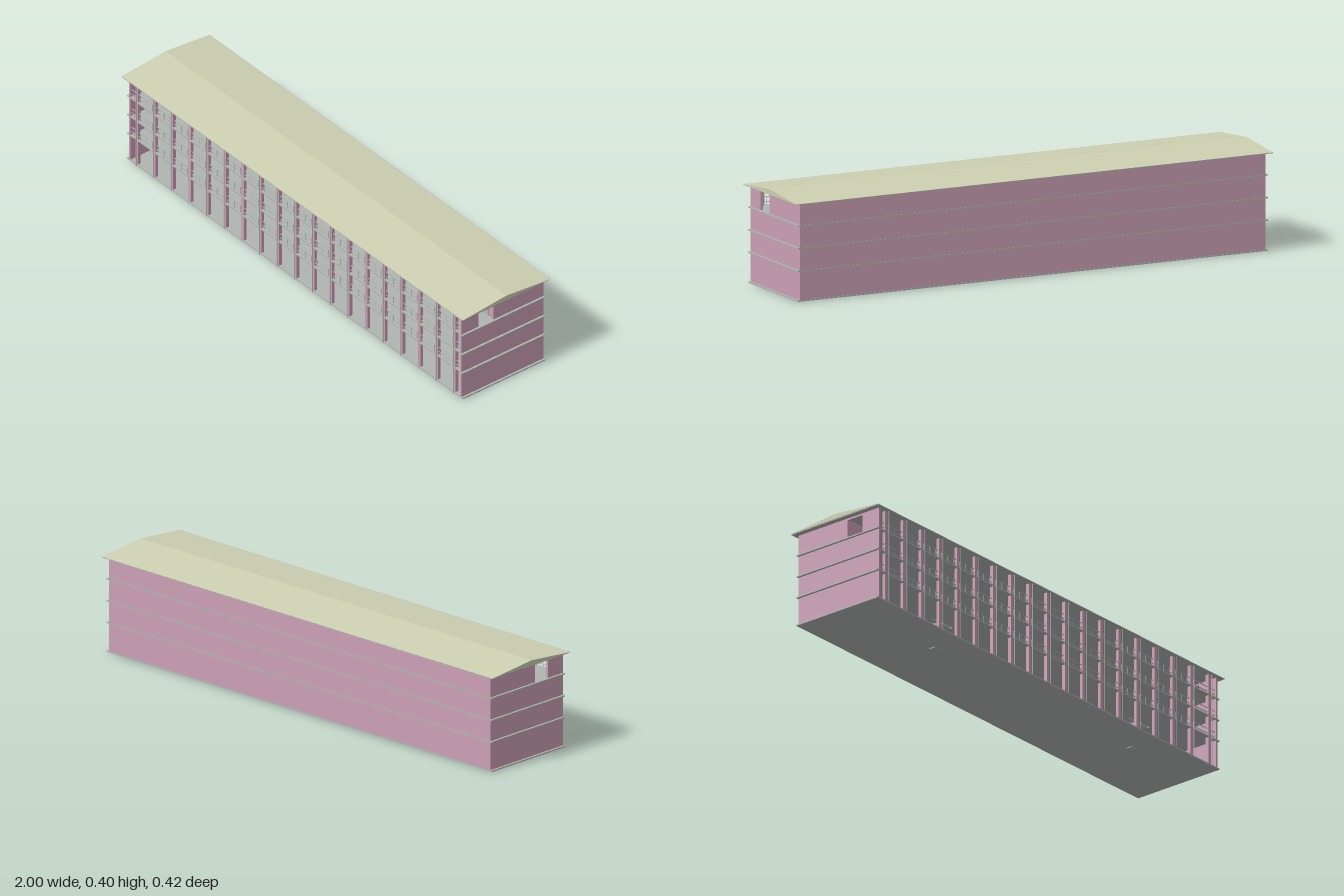
import * as THREE from 'three';

const mat = (name, color, extra = {}) => new THREE.MeshStandardMaterial({ name, color, ...extra });

export function createModel() {
  const pink = mat('pinkPlaster', 0xcca0b5);
  const grey = mat('greyConcrete', 0xb0b5b2);
  const olive = mat('paleOliveRoof', 0xcdd0b1);
  const teal = mat('tealGlass', 0x7f9d9c);
  const dark = mat('darkMetal', 0x5c605e);

  const building = new THREE.Group();
  building.name = 'longBuilding';

  // Box given by its minimum and maximum corners
  const box = (name, material, x0, x1, y0, y1, z0, z1, parent = building) => {
    const m = new THREE.Mesh(new THREE.BoxGeometry(x1 - x0, y1 - y0, z1 - z0), material);
    m.position.set((x0 + x1) / 2, (y0 + y1) / 2, (z0 + z1) / 2);
    m.name = name;
    parent.add(m);
    return m;
  };
  const rect = (Type, a0, a1, b0, b1) => {
    const p = new Type();
    p.moveTo(a0, b0);
    p.lineTo(a1, b0);
    p.lineTo(a1, b1);
    p.lineTo(a0, b1);
    p.closePath();
    return p;
  };

  const floors = [0.003, 0.116, 0.201, 0.287]; // underside of each slab
  const slabT = 0.005;
  const eave = 0.374;
  const stairBays = [[-0.53, -0.41], [0.605, 0.725]];
  const roomRanges = [[-0.76, -0.53, 1], [-0.41, 0.605, 5], [0.725, 0.95, 1]];
  const wallZ = 0.04;

  // Floor slabs, pierced at the stairwells above the ground
  floors.forEach((y, i) => {
    const s = rect(THREE.Shape, -0.985, 0.985, -0.1955, 0.1965);
    if (i) stairBays.forEach(([a, b]) => s.holes.push(rect(THREE.Path, a + 0.005, b - 0.005, -0.08, 0.06)));
    const slab = new THREE.Mesh(new THREE.ExtrudeGeometry(s, { depth: slabT, bevelEnabled: false }), grey);
    slab.rotation.x = -Math.PI / 2;
    slab.position.y = y;
    slab.name = 'floorSlab';
    building.add(slab);
  });

  // Gable end walls with the top corridor opening
  for (const side of [-1, 1]) {
    const s = rect(THREE.Shape, -0.194, 0.193, 0.006, eave);
    s.holes.push(rect(THREE.Path, -0.114, -0.043, 0.291, 0.365));
    const wall = new THREE.Mesh(new THREE.ExtrudeGeometry(s, { depth: 0.01, bevelEnabled: false }), pink);
    wall.rotation.y = Math.PI / 2;
    wall.position.x = side > 0 ? 0.966 : -0.976;
    wall.name = 'endWall';
    building.add(wall);
  }

  // Back wall and corridor wall, left open at the stairwells
  box('backWall', pink, -0.976, 0.976, 0.006, eave, -0.195, -0.187);
  for (const [a, b] of [[-0.97, -0.53], [-0.41, 0.605], [0.725, 0.97]])
    box('corridorWall', pink, a, b, 0.006, eave, wallZ - 0.008, wallZ);
  for (const bay of stairBays)
    for (const x of bay) box('stairwellWall', pink, x - 0.003, x + 0.003, 0.006, eave, -0.19, wallZ);

  // Classroom fronts on the upper floors: grey panel, door and two windows
  for (const y0 of floors.slice(1)) {
    const y = y0 + slabT;
    for (const [a, b, n] of roomRanges) {
      const w = (b - a) / n;
      for (let i = 0; i < n; i++) {
        const x = a + i * w;
        const room = new THREE.Group();
        room.name = 'classroomFront';
        building.add(room);
        box('frontPanel', grey, x + 0.004, x + w - 0.004, y, y + 0.078, wallZ, wallZ + 0.002, room);
        const z0 = wallZ + 0.002, z1 = wallZ + 0.004;
        box('door', pink, x + w * 0.57, x + w * 0.71, y, y + 0.062, z0, z1, room);
        for (const [f0, f1] of [[0.06, 0.53], [0.74, 0.96]]) {
          const x0 = x + w * f0, x1 = x + w * f1, mid = (x0 + x1) / 2;
          box('window', teal, x0, x1, y + 0.024, y + 0.058, z0, z1, room);
          box('windowBar', grey, mid - 0.0012, mid + 0.0012, y + 0.024, y + 0.058, z1, z1 + 0.001, room);
        }
      }
    }
  }

  // Front columns and rain pipes
  for (let k = -9; k <= 9; k++) {
    const x = k * 0.1035;
    box('frontColumn', pink, x - 0.007, x + 0.007, 0.006, eave, 0.18, 0.193);
    const pipe = new THREE.Mesh(new THREE.CylinderGeometry(0.0017, 0.0017, eave - 0.005, 8), grey);
    pipe.position.set(x + 0.005, (eave + 0.005) / 2, 0.201);
    pipe.name = 'rainPipe';
    building.add(pipe);
  }

  // Corridor railings
  for (const y0 of floors.slice(1)) {
    const y = y0 + slabT;
    for (const h of [0.011, 0.03])
      box('railingBar', grey, -0.966, 0.966, y + h, y + h + 0.0022, 0.186, 0.189);
    for (let x = -0.95; x < 0.96; x += 0.0345)
      box('railingPost', grey, x - 0.0008, x + 0.0008, y, y + 0.03, 0.187, 0.1885);
  }

  // Sloping flight of steps, from (y0, z0) to (y1, z1)
  const flight = (x0, x1, y0, y1, z0, z1, parent) => {
    const n = 7, dy = (y1 - y0) / n, dz = (z1 - z0) / n;
    const s = new THREE.Shape();
    s.moveTo(z0, y0 - 0.004);
    s.lineTo(z0, y0);
    for (let i = 0; i < n; i++) {
      s.lineTo(z0 + i * dz, y0 + (i + 1) * dy);
      s.lineTo(z0 + (i + 1) * dz, y0 + (i + 1) * dy);
    }
    s.lineTo(z1, y1 - 0.006);
    s.closePath();
    const m = new THREE.Mesh(new THREE.ExtrudeGeometry(s, { depth: x1 - x0, bevelEnabled: false }), grey);
    m.rotation.y = -Math.PI / 2; // shape x becomes z
    m.position.x = x1;
    m.name = 'stairFlight';
    parent.add(m);
  };

  // Two returning flights with a landing between each pair of floors
  for (const [a, b] of stairBays) {
    const stair = new THREE.Group();
    stair.name = 'staircase';
    building.add(stair);
    for (let i = 0; i < 3; i++) {
      const y0 = floors[i] + slabT, y1 = floors[i + 1] + slabT, ym = (y0 + y1) / 2;
      flight(a + 0.012, a + 0.058, y0, ym, 0.07, -0.05, stair);
      flight(a + 0.066, a + 0.112, ym, y1, -0.05, 0.07, stair);
      box('stairLanding', grey, a + 0.004, b - 0.004, ym - 0.005, ym, -0.1, -0.05, stair);
      for (const x of [a + 0.06, a + 0.064]) {
        const rising = x > a + 0.062;
        const [p, q] = rising ? [ym, y1] : [y0, ym];
        const rail = new THREE.LineCurve3(
          new THREE.Vector3(x, p + 0.026, rising ? -0.05 : 0.07),
          new THREE.Vector3(x, q + 0.026, rising ? 0.07 : -0.05));
        const m = new THREE.Mesh(new THREE.TubeGeometry(rail, 1, 0.0012, 6), dark);
        m.name = 'stairHandrail';
        stair.add(m);
      }
    }
    box('stairFoot', grey, a + 0.012, a + 0.058, 0, 0.004, 0.055, 0.08, stair);
  }

  // Eave plate and shallow pitched roof
  box('eavePlate', grey, -0.998, 0.998, 0.3725, 0.3752, -0.2095, 0.2095);
  const gable = new THREE.Shape();
  gable.moveTo(-0.21, 0.375);
  gable.lineTo(0.21, 0.375);
  gable.lineTo(0, 0.395);
  gable.closePath();
  const roof = new THREE.Mesh(new THREE.ExtrudeGeometry(gable, { depth: 2, bevelEnabled: false }), olive);
  roof.rotation.y = Math.PI / 2;
  roof.position.x = -1;
  roof.name = 'pitchedRoof';
  building.add(roof);

  return building;
}
